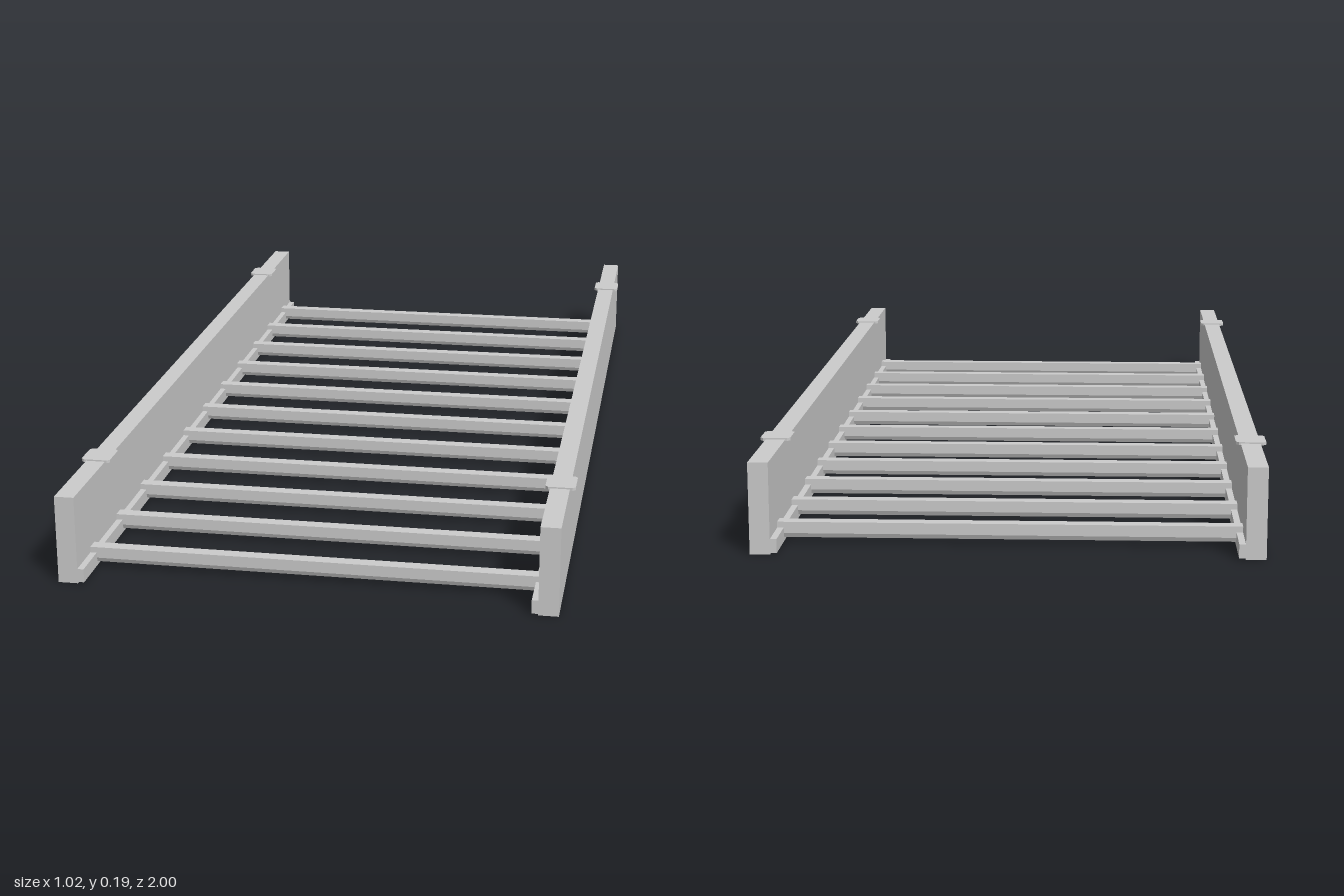
import * as THREE from 'three';

const material = new THREE.MeshStandardMaterial({ color: 0xcccccc, flatShading: true });

function addMesh(parent, name, geometry, x, y, z) {
  const mesh = new THREE.Mesh(geometry, material);
  mesh.name = name;
  mesh.position.set(x, y, z);
  parent.add(mesh);
}

// Small plate with clipped corners, lying flat on y = 0
function clipGeometry(w, d, h, c) {
  const x = w / 2, z = d / 2;
  const outline = new THREE.Shape([
    [x - c, -z], [x, -z + c], [x, z - c], [x - c, z],
    [-x + c, z], [-x, z - c], [-x, -z + c], [-x + c, -z],
  ].map(([a, b]) => new THREE.Vector2(a, b)));
  return new THREE.ExtrudeGeometry(outline, { depth: h, bevelEnabled: false }).rotateX(-Math.PI / 2);
}

// Slat section with eased lower edges, running along x
function slatGeometry(length, width, bottom, top, c) {
  const w = width / 2;
  const section = new THREE.Shape([
    [-w + c, bottom], [w - c, bottom], [w, bottom + 0.009],
    [w, top], [-w, top], [-w, bottom + 0.009],
  ].map(([a, b]) => new THREE.Vector2(a, b)));
  return new THREE.ExtrudeGeometry(section, { depth: length, bevelEnabled: false })
    .translate(0, 0, -length / 2).rotateY(Math.PI / 2);
}

export function createModel() {
  const group = new THREE.Group();
  group.name = 'slattedFrame';

  const rail = new THREE.BoxGeometry(0.04, 0.183, 2);
  const ledge = new THREE.BoxGeometry(0.014, 0.028, 2);
  const clip = clipGeometry(0.061, 0.067, 0.006, 0.006);
  const slat = slatGeometry(0.92, 0.027, 0.011, 0.043, 0.004);

  // Side boards with inner ledges and top clips
  for (const [side, s] of [['left', 1], ['right', -1]]) {
    addMesh(group, side + 'SideRail', rail, s * 0.48, 0.0915, 0);
    addMesh(group, side + 'Ledge', ledge, s * 0.454, 0.017, 0);
    for (const z of [-0.76, 0.76]) addMesh(group, side + 'Clip', clip, s * 0.481, 0.18, z);
  }

  // Evenly spaced cross slats
  for (let i = -5; i <= 5; i++) addMesh(group, 'slat', slat, 0, 0, i * 0.18);

  return group;
}
